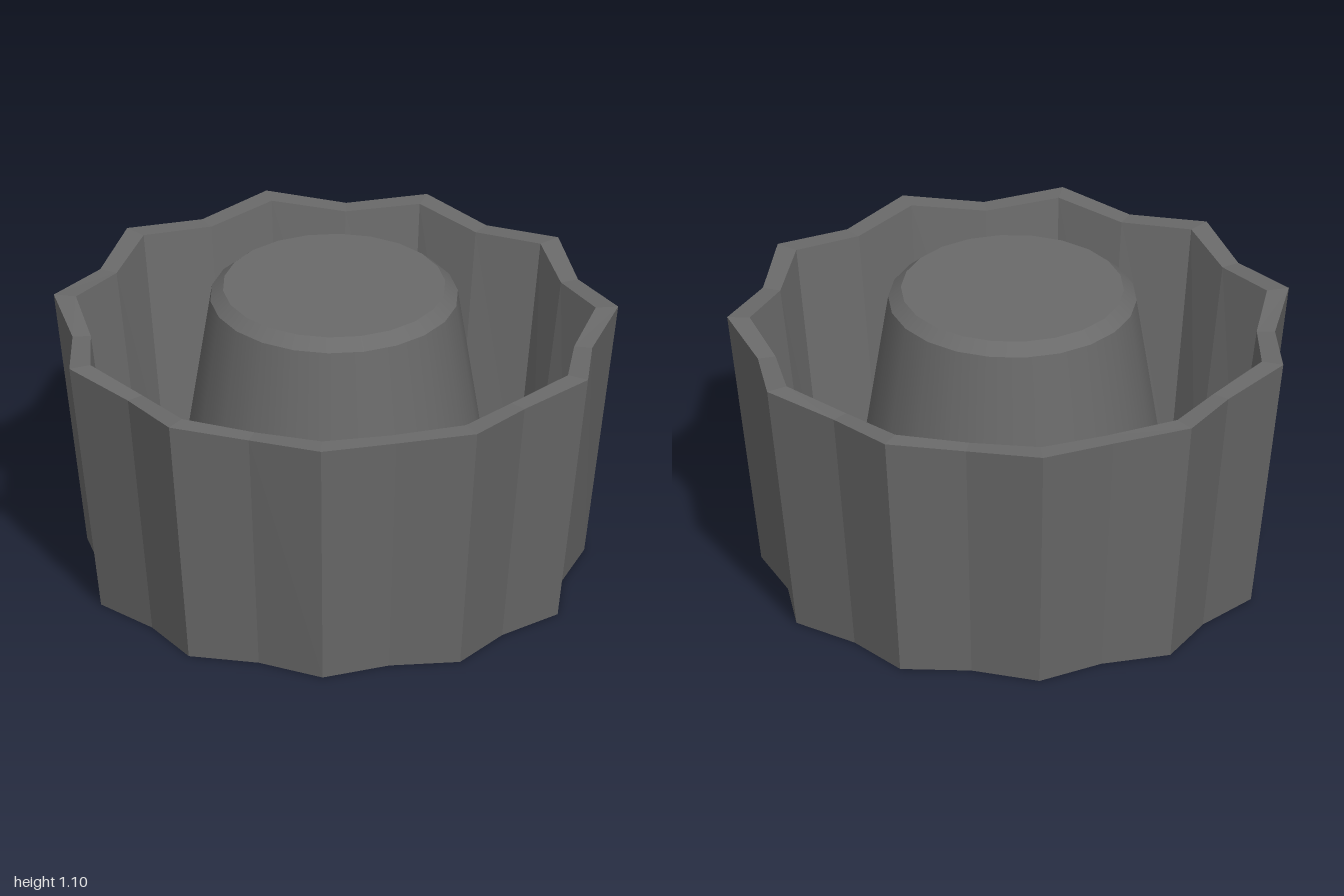
import * as THREE from 'three';

const STEPS = 22;      // eleven points and eleven notches
const CENTRE_Z = 0.02; // an odd number of points shifts the axis slightly

const greyPlastic = new THREE.MeshStandardMaterial({ color: 0x6a6a6a });
greyPlastic.name = 'grey plastic';

// Faceted star-shaped shell; each profile entry is [point radius, notch radius, point y, notch y]
function starShell(profile) {
  const corner = (i, k) => {
    const [rp, rn, yp, yn] = profile[i];
    const a = (k * Math.PI * 2) / STEPS;
    const point = k % 2 === 0;
    const r = point ? rp : rn;
    return [r * Math.sin(a), point ? yp : yn, -r * Math.cos(a)];
  };
  const positions = [];
  for (let i = 0; i < profile.length - 1; i++) {
    for (let k = 0; k < STEPS; k++) {
      const a = corner(i, k), b = corner(i + 1, k);
      const c = corner(i + 1, k + 1), d = corner(i, k + 1);
      if (profile[i + 1][0] > 0) positions.push(...a, ...b, ...c);
      if (profile[i][0] > 0) positions.push(...a, ...c, ...d);
    }
  }
  const geometry = new THREE.BufferGeometry();
  geometry.setAttribute('position', new THREE.Float32BufferAttribute(positions, 3));
  geometry.computeVertexNormals();
  return geometry;
}

export function createModel() {
  const model = new THREE.Group();
  model.name = 'scallopedKnob';
  const body = new THREE.Group();
  body.name = 'body';
  body.position.z = CENTRE_Z;
  model.add(body);

  const add = (name, geometry) => {
    const mesh = new THREE.Mesh(geometry, greyPlastic);
    mesh.name = name;
    body.add(mesh);
    return mesh;
  };

  // Cup: underside, outer wall, rim, inner wall, floor
  add('scallopedCup', starShell([
    [0, 0, 0, 0],
    [0.889, 0.82, 0, 0],
    [1.01, 0.93, 0.965, 0.943],
    [0.93, 0.865, 0.965, 0.943],
    [0.815, 0.75, 0.05, 0.05],
    [0, 0, 0.05, 0.05],
  ]));

  // Central post: separate bands keep the edges sharp and the sides smooth
  const post = [[0.59, 0.05], [0.44, 1.06], [0.395, 1.1], [0, 1.1]]
    .map(([r, y]) => new THREE.Vector2(r, y));
  ['postSide', 'postBevel', 'postTop'].forEach((name, i) => {
    add(name, new THREE.LatheGeometry([post[i], post[i + 1]], STEPS));
  });

  return model;
}
